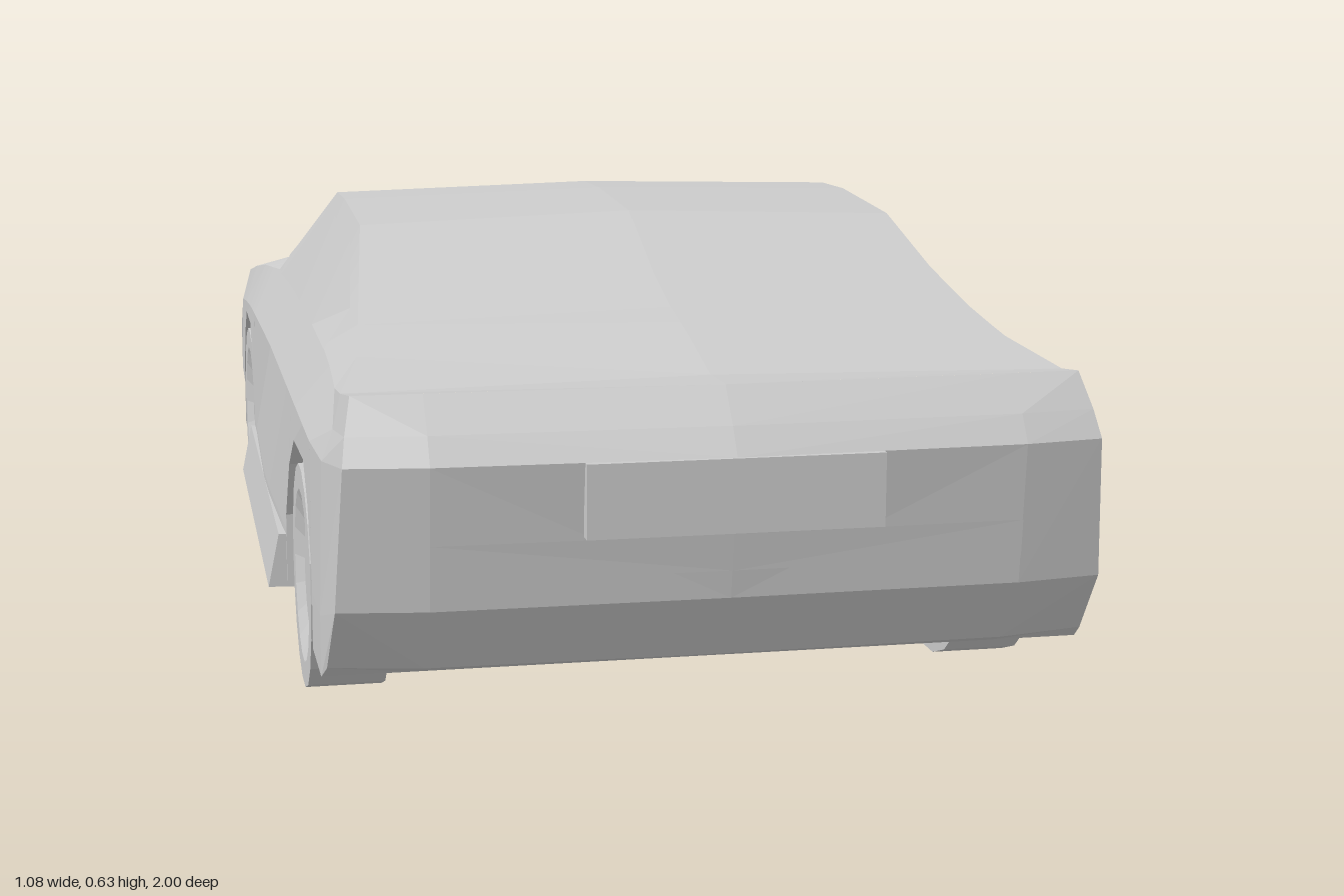
import * as THREE from 'three';
import { mergeGeometries } from 'three/addons/utils/BufferGeometryUtils.js';

const material = new THREE.MeshStandardMaterial({ color: 0xcccccc, flatShading: true });
const thin = new THREE.MeshStandardMaterial({ color: 0xcccccc, flatShading: true, side: THREE.DoubleSide });
const lerp = THREE.MathUtils.lerp;
const WHEELS = [-0.625, 0.55];

// Body profile by z: low x, mid x, mid y, belt x, belt y, top edge x, top edge y, centre y
const PROFILE = [
  [-0.80, 0.505, 0.505, 0.34, 0.49, 0.395, 0.38, 0.425, 0.43],
  [-0.62, 0.505, 0.505, 0.36, 0.48, 0.43, 0.38, 0.455, 0.46],
  [-0.36, 0.51, 0.505, 0.37, 0.465, 0.455, 0.46, 0.46, 0.462],
  [-0.02, 0.52, 0.505, 0.38, 0.465, 0.465, 0.395, 0.622, 0.632],
  [0.10, 0.52, 0.505, 0.38, 0.465, 0.465, 0.395, 0.625, 0.635],
  [0.33, 0.515, 0.505, 0.38, 0.465, 0.465, 0.395, 0.612, 0.625],
  [0.54, 0.505, 0.505, 0.38, 0.465, 0.465, 0.42, 0.53, 0.54],
  [0.72, 0.505, 0.505, 0.38, 0.47, 0.45, 0.44, 0.49, 0.505],
  [0.85, 0.505, 0.5, 0.38, 0.485, 0.42, 0.475, 0.465, 0.473],
];

function profileAt(z) {
  let i = 0;
  while (i < PROFILE.length - 2 && z > PROFILE[i + 1][0]) i++;
  const [a, b] = [PROFILE[i], PROFILE[i + 1]];
  const t = (z - a[0]) / (b[0] - a[0]);
  return a.map((v, k) => lerp(v, b[k], t)).slice(1);
}

// Surface through rows of points, optionally with its mirror image in x
function sheet(rows, mirror = true) {
  const pos = [];
  const tri = (...p) => p.forEach((q) => pos.push(...q));
  const flip = (p) => [-p[0], p[1], p[2]];
  for (let i = 0; i < rows.length - 1; i++) {
    for (let j = 0; j < rows[i].length - 1; j++) {
      const [a, b, c, d] = [rows[i][j], rows[i][j + 1], rows[i + 1][j + 1], rows[i + 1][j]];
      tri(a, b, c); tri(a, c, d);
      if (mirror) {
        const [e, f, g, h] = [a, b, c, d].map(flip);
        tri(e, g, f); tri(e, h, g);
      }
    }
  }
  const geo = new THREE.BufferGeometry();
  geo.setAttribute('position', new THREE.Float32BufferAttribute(pos, 3));
  geo.computeVertexNormals();
  return geo;
}

// Half cross-section from floor centre round to roof centre
function section(z, arch) {
  const [lx, mx, my, bx, by, tx, ty, cy] = profileAt(z);
  return [[0, 0.1, z], [0.39, 0.1, z], [0.39, arch, z], [lx, arch, z], [lx, Math.max(arch, 0.18), z],
    [mx, my, z], [bx, by, z], [tx, ty, z], [0, cy, z]];
}

// Point inside one cell of a fascia, pushed out along z
function cellPatch(rows, i, j, u0, u1, v0, v1, push) {
  const at = (u, v) => [0, 1, 2].map((k) =>
    lerp(lerp(rows[i][j][k], rows[i][j + 1][k], u), lerp(rows[i + 1][j][k], rows[i + 1][j + 1][k], u), v)
    + (k === 2 ? push : 0));
  return sheet([[at(u0, v0), at(u1, v0)], [at(u0, v1), at(u1, v1)]]);
}

export function createModel() {
  const car = new THREE.Group();
  car.name = 'car';
  const add = (name, geo, mat = material, parent = car) => {
    const mesh = new THREE.Mesh(geo, mat);
    mesh.name = name;
    parent.add(mesh);
    return mesh;
  };

  // End rings of the body: nose at -z, tail at +z
  const nose = [[0, 0.1, -0.97], [0.38, 0.1, -0.965], [0.38, 0.1, -0.965], [0.49, 0.1, -0.965], [0.5, 0.18, -0.965],
    [0.505, 0.28, -0.87], [0.49, 0.365, -0.84], [0.36, 0.36, -0.945], [0, 0.355, -0.98]];
  const tail = [[0, 0.12, 0.91], [0.38, 0.12, 0.905], [0.38, 0.12, 0.905], [0.5, 0.12, 0.88], [0.495, 0.21, 0.95],
    [0.485, 0.395, 0.97], [0.48, 0.43, 0.95], [0.47, 0.475, 0.92], [0, 0.475, 0.93]];

  // Body shell with wheel arches
  const stations = PROFILE.map((p) => [p[0], 0.1]).filter(([z]) => WHEELS.every((w) => Math.abs(z - w) > 0.176));
  const archSteps = [[0.175, 0.1], [0.175, 0.2], [0.125, 0.285], [0.065, 0.332]];
  for (const w of WHEELS) {
    for (const [dz, y] of archSteps) stations.push([w - dz, y]);
    for (const [dz, y] of [...archSteps].reverse()) stations.push([w + dz, y]);
  }
  stations.sort((a, b) => a[0] - b[0]);
  add('bodyShell', sheet([nose, ...stations.map(([z, y]) => section(z, y)), tail]));

  // Front fascia, top to bottom
  const front = [
    [nose[8], nose[7], nose[6]],
    [[0, 0.26, -0.985], [0.37, 0.26, -0.96], nose[5]],
    [[0, 0.18, -1], [0.38, 0.18, -0.985], nose[4]],
    [[0, 0.165, -0.95], [0.38, 0.165, -0.95], [0.497, 0.16, -0.95]],
    [nose[0], nose[1], nose[3]],
  ];
  add('frontFascia', sheet(front));
  add('grille', cellPatch(front, 0, 0, 0, 0.88, 0.15, 0.85, -0.004), thin);
  add('headlights', cellPatch(front, 0, 1, 0.04, 0.96, 0.1, 0.9, -0.004), thin);
  add('lowerIntake', cellPatch(front, 1, 0, 0, 0.95, 0.3, 0.75, -0.003), thin);

  // Rear fascia, bottom to top
  const rear = [
    [tail[0], tail[1], tail[3]],
    [[0, 0.21, 0.97], [0.38, 0.21, 0.967], tail[4]],
    [[0, 0.395, 0.995], [0.38, 0.395, 0.985], tail[5]],
    [[0, 0.43, 0.97], [0.38, 0.43, 0.962], tail[6]],
    [tail[8], [0.38, 0.475, 0.922], tail[7]],
  ];
  add('rearFascia', sheet(rear));
  add('rearBand', cellPatch(rear, 1, 0, 0, 1, 0.2, 0.46, 0.002), thin);
  add('rearPlate', new THREE.BoxGeometry(0.38, 0.095, 0.02).translate(0, 0.3475, 0.99));

  // Side windows follow the slope between belt and roof edge
  const sideGlass = [-0.28, -0.02, 0.10, 0.33, 0.53].map((z) => {
    const [, , , bx, by, tx, ty] = profileAt(z);
    return [0.03, 0.84].map((t) => [lerp(bx, tx, t) + 0.004, lerp(by, ty, t), z]);
  });
  add('sideWindows', sheet(sideGlass), thin);

  // Windscreen and rear window lie just above the sloping top
  const topGlass = (zs) => sheet(zs.map((z) => {
    const [, , , , , tx, ty, cy] = profileAt(z);
    const s = 0.95;
    return [[tx * s, lerp(cy, ty, s) + 0.003, z], [0, cy + 0.003, z]];
  }));
  add('windscreen', topGlass([-0.35, -0.04]), thin);
  add('rearWindow', topGlass([0.36, 0.53]), thin);

  // Side skirts, flared at the bottom and tapered at the front
  const skirt = (s) => {
    const geo = new THREE.BoxGeometry(0.06, 0.08, 0.8).translate(s * 0.495, 0.13, -0.03);
    const p = geo.attributes.position;
    for (let i = 0; i < p.count; i++) {
      if (p.getX(i) * s < 0.5) continue;
      const tip = p.getZ(i) < 0 ? 0.008 : 0;
      p.setX(i, s * ((p.getY(i) < 0.13 ? 0.54 : 0.524) - tip));
      p.setY(i, Math.max(p.getY(i), 0.092));
    }
    geo.computeVertexNormals();
    return geo;
  };
  add('sideSkirts', mergeGeometries([skirt(1), skirt(-1)]));

  // Wheels with dished rims
  const profile = [[0, -0.0525], [0.155, -0.0525], [0.155, 0.0525], [0.12, 0.0525], [0.088, 0.038], [0.08, 0.042], [0, 0.042]]
    .map(([r, y]) => new THREE.Vector2(r, y));
  for (const z of WHEELS) {
    for (const s of [1, -1]) {
      const geo = new THREE.LatheGeometry(profile, 18).rotateZ(-s * Math.PI / 2);
      add((z < 0 ? 'nose' : 'tail') + (s > 0 ? 'LeftWheel' : 'RightWheel'), geo).position.set(s * 0.4525, 0.155, z);
    }
  }
  return car;
}
